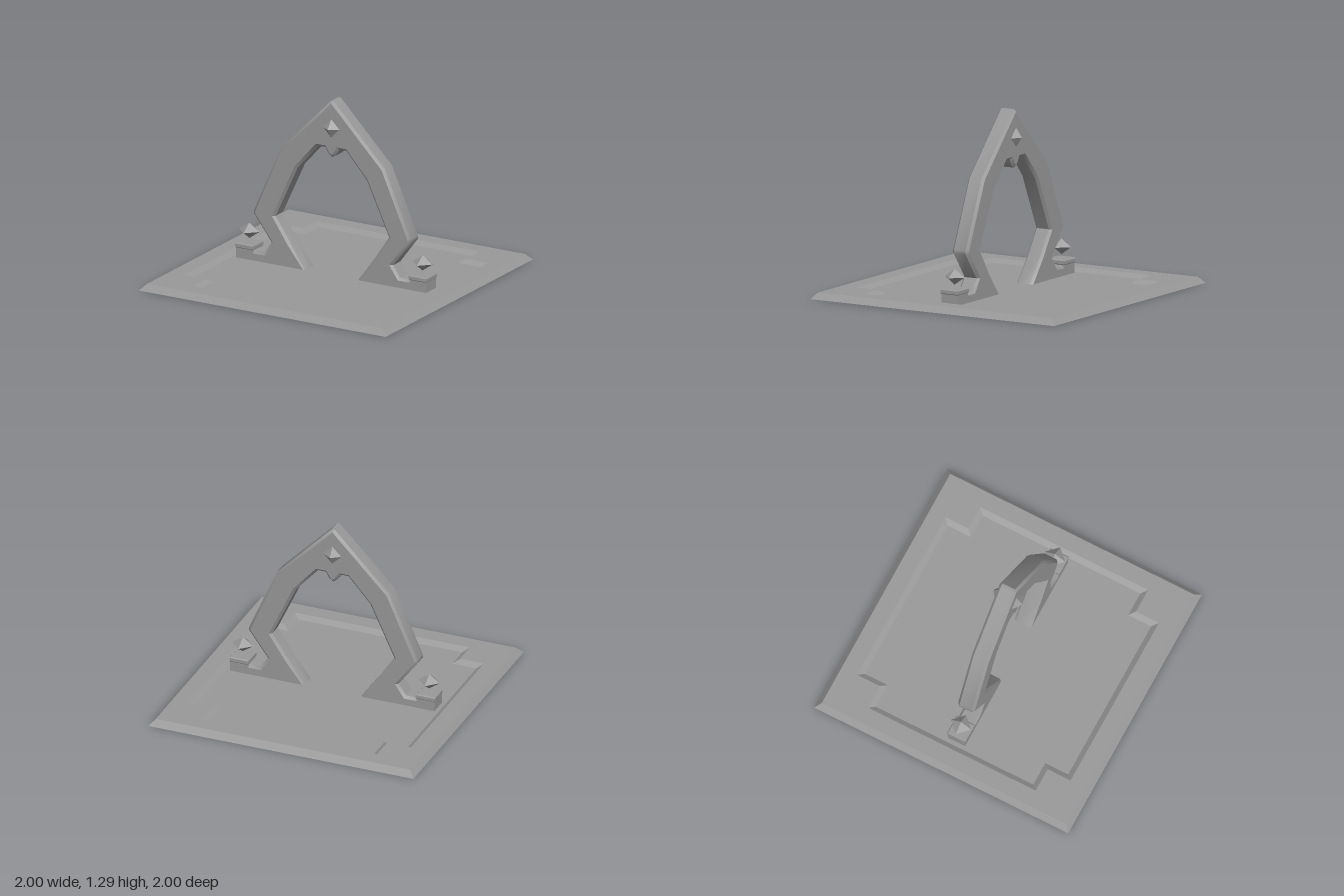
import * as THREE from 'three';
import { toCreasedNormals } from 'three/addons/utils/BufferGeometryUtils.js';

const RIM = 0.045; // height of the raised border
const FLOOR = 0.018; // height of the sunken floor

const solid = new THREE.MeshStandardMaterial({ color: 0x999999 });
const sheet = new THREE.MeshStandardMaterial({ color: 0x999999, side: THREE.DoubleSide });

// Shallow bends stay smooth, chamfers and corners stay sharp
function part(name, geometry, material = solid) {
  const mesh = new THREE.Mesh(toCreasedNormals(geometry, 0.7), material);
  mesh.name = name;
  return mesh;
}

const vectors = (pts) => pts.map(([x, y]) => new THREE.Vector2(x, y));

// Closed outlines in plan, as [x, -z]
const square = (a) => [[a, -a], [a, a], [-a, a], [-a, -a]];
function notchedSquare(a, b) {
  const pts = [];
  let corner = [[a, b], [b, b], [b, a]];
  for (let i = 0; i < 4; i++) {
    pts.push(...corner);
    corner = corner.map(([x, y]) => [-y, x]);
  }
  return pts;
}

// Flat sheet lying at height y
function flat(outline, y, hole) {
  const shape = new THREE.Shape(vectors(outline));
  if (hole) shape.holes.push(new THREE.Path(vectors(hole)));
  return new THREE.ShapeGeometry(shape).rotateX(-Math.PI / 2).translate(0, y, 0);
}

// Sloping wall between a lower and an upper outline
function slope(low, lowY, high, highY) {
  const pos = [];
  low.forEach((_, i) => {
    const j = (i + 1) % low.length;
    const a = [low[i][0], lowY, -low[i][1]], b = [low[j][0], lowY, -low[j][1]];
    const c = [high[j][0], highY, -high[j][1]], d = [high[i][0], highY, -high[i][1]];
    pos.push(...a, ...b, ...c, ...a, ...c, ...d);
  });
  const g = new THREE.BufferGeometry();
  g.setAttribute('position', new THREE.Float32BufferAttribute(pos, 3));
  return g;
}

function gem(name, sx, sy, sz, x, y, z) {
  const mesh = part(name, new THREE.OctahedronGeometry(1).scale(sx, sy, sz));
  mesh.position.set(x, y, z);
  return mesh;
}

// Base: open-bottomed tray with a notched sunken floor
function createBase() {
  const base = new THREE.Group();
  base.name = 'base';
  const top = notchedSquare(0.84, 0.66), bottom = notchedSquare(0.8, 0.62);
  base.add(
    part('baseRim', flat(square(0.96), RIM, top), sheet),
    part('baseOuterSlope', slope(square(1), 0, square(0.96), RIM), sheet),
    // Wound from the top down so that it faces up into the recess
    part('baseInnerSlope', slope(top, RIM, bottom, FLOOR), sheet),
    part('baseFloor', flat(bottom, FLOOR), sheet)
  );
  return base;
}

// Arch: mirrored outline, extruded with a chamfer, its feet sunk through the floor
function createArch() {
  const outer = [
    [0.66, 0], [0.66, 0.088], [0.55, 0.088], [0.493, 0.17],
    [0.635, 0.36], [0.635, 0.385], [0.425, 0.865], [0.01, 1.29]
  ];
  const inner = [
    [0.03, 0.898], [0.055, 0.943], [0.115, 0.943], [0.28, 0.757],
    [0.46, 0.37], [0.34, 0.19], [0.2, 0]
  ];
  const mirror = (pts) => pts.map(([x, y]) => [-x, y]).reverse();
  const outline = [...outer, ...mirror(outer), ...mirror(inner), [0, 0.877], ...inner];
  const chamfer = 0.018, half = 0.066;
  const g = new THREE.ExtrudeGeometry(new THREE.Shape(vectors(outline)), {
    depth: 2 * (half - chamfer), bevelEnabled: true, bevelSegments: 1,
    bevelSize: chamfer, bevelThickness: chamfer, bevelOffset: -chamfer
  });
  return part('arch', g.translate(0, 0, chamfer - half));
}

// Post: square pillar with a chamfered cap
function createPost(x) {
  const profile = [
    [0, 0], [0.067, 0], [0.067, 0.092], [0.072, 0.097], [0.072, 0.12], [0.065, 0.128], [0, 0.128]
  ].map(([r, y]) => new THREE.Vector2(r * Math.SQRT2, y));
  const mesh = part('post', new THREE.LatheGeometry(profile, 4, Math.PI / 4));
  mesh.position.x = x;
  return mesh;
}

export function createModel() {
  const model = new THREE.Group();
  model.name = 'archway';
  model.add(createBase(), createArch());
  for (const s of [1, -1]) {
    // Gems set in both faces of the arch, and floating above each post
    model.add(gem('archGem', 0.075, 0.075, 0.055, 0, 1.095, s * 0.06));
    model.add(createPost(s * 0.703));
    model.add(gem('postGem', 0.08, 0.056, 0.08, s * 0.703, 0.209, 0));
  }
  return model;
}
